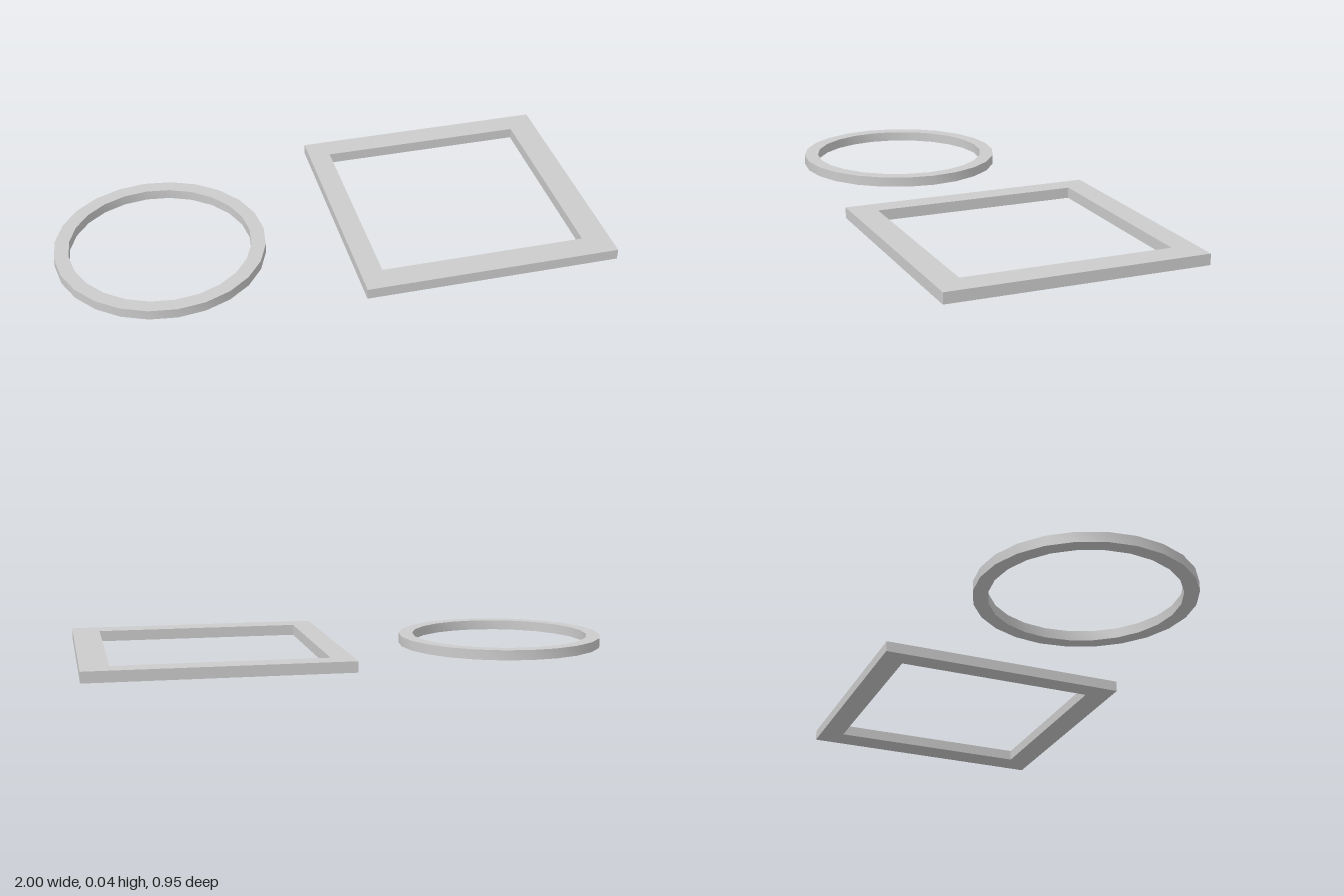
import * as THREE from 'three';
import { toCreasedNormals } from 'three/addons/utils/BufferGeometryUtils.js';

const material = new THREE.MeshStandardMaterial({ color: 0xcccccc });

// Closed rectangular outline in plan: x to the right, v = -z
function rectangle(path, x0, x1, v0, v1) {
  path.moveTo(x0, v0);
  path.lineTo(x1, v0);
  path.lineTo(x1, v1);
  path.lineTo(x0, v1);
  path.closePath();
  return path;
}

// Flat 24-sided ring: a rectangular section turned about the vertical axis
function createRing() {
  const inner = 0.335, outer = 0.388, height = 0.037;
  const section = [
    [inner, 0], [outer, 0], [outer, height], [inner, height], [inner, 0],
  ].map(([r, y]) => new THREE.Vector2(r, y));
  const geometry = toCreasedNormals(new THREE.LatheGeometry(section, 24), 0.6);
  const ring = new THREE.Mesh(geometry, material);
  ring.name = 'roundRing';
  ring.position.set(-0.612, 0, 0.023);
  return ring;
}

// Square frame with a slightly off-centre opening
function createFrame() {
  const shape = rectangle(new THREE.Shape(), 0.053, 1, -0.473, 0.473);
  shape.holes.push(rectangle(new THREE.Path(), 0.134, 0.898, -0.377, 0.384));
  const geometry = new THREE.ExtrudeGeometry(shape, { depth: 0.04, bevelEnabled: false });
  geometry.rotateX(-Math.PI / 2);
  const frame = new THREE.Mesh(geometry, material);
  frame.name = 'squareFrame';
  return frame;
}

export function createModel() {
  const model = new THREE.Group();
  model.name = 'ringAndFrame';
  model.add(createRing(), createFrame());
  return model;
}
